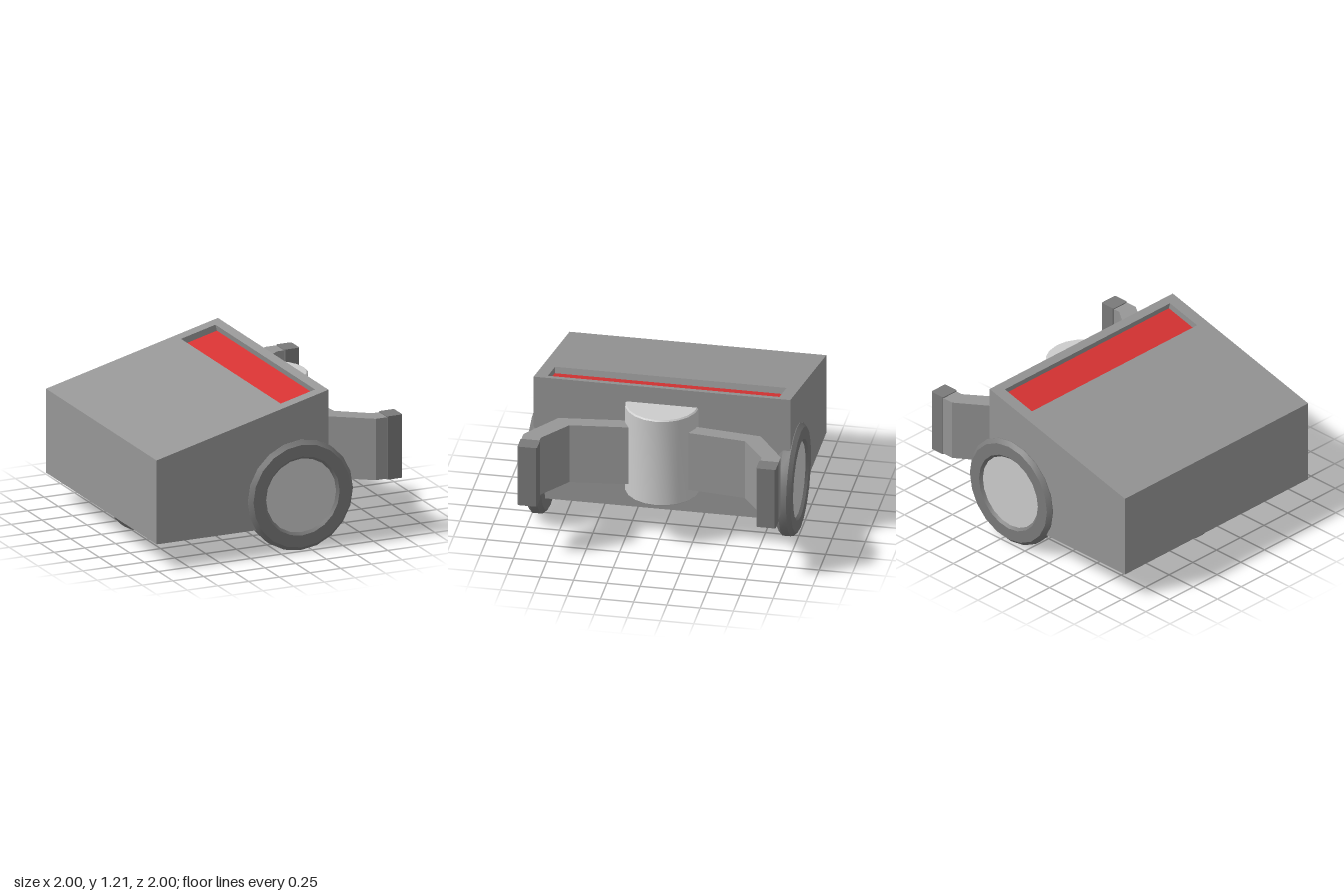
import * as THREE from 'three';
import { toCreasedNormals } from 'three/addons/utils/BufferGeometryUtils.js';

const paint = (color) => new THREE.MeshStandardMaterial({ color });
const light = paint(0xcccccc);
const bodyGrey = paint(0x969696);
const darkGrey = paint(0x7a7a7a);
const red = paint(0xd63333);

function add(parent, name, geometry, material, x = 0, y = 0, z = 0) {
  const mesh = new THREE.Mesh(geometry, material);
  mesh.name = name;
  mesh.position.set(x, y, z);
  parent.add(mesh);
  return mesh;
}

const outline = (points) => new THREE.Shape(points.map(([x, y]) => new THREE.Vector2(x, y)));
const extrude = (points, depth) =>
  new THREE.ExtrudeGeometry(outline(points), { depth, bevelEnabled: false });

// Lathed solid about the y axis; sharp edges kept, round sides smooth
function turned(points, segments = 20) {
  const profile = points.map(([r, y]) => new THREE.Vector2(r, y));
  return toCreasedNormals(new THREE.LatheGeometry(profile, segments), 0.6);
}

// Tyre with chamfered edges around a slightly recessed hub, axle along z
function makeWheel(name, radius, hubRadius, x, z) {
  const wheel = new THREE.Group();
  wheel.name = name;
  const w = 0.06, c = 0.03, lip = 0.02;
  const tyre = turned([
    [hubRadius, -w + lip], [hubRadius + lip, -w], [radius - c, -w], [radius, -w + c],
    [radius, w - c], [radius - c, w], [hubRadius + lip, w], [hubRadius, w - lip],
    [hubRadius, -w + lip],
  ]);
  add(wheel, 'tyre', tyre.rotateX(Math.PI / 2), darkGrey);
  const hub = new THREE.CylinderGeometry(hubRadius, hubRadius, 2 * (w - lip), 20);
  add(wheel, 'hub', hub.rotateX(Math.PI / 2), light);
  wheel.position.set(x, radius, z);
  return wheel;
}

export function createModel() {
  const model = new THREE.Group();
  model.name = 'wedgeRobot';

  // Wedge body: solid cheeks either side of a section notched for the panel
  const body = new THREE.Group();
  body.name = 'body';
  model.add(body);
  const halfWidth = 0.965, slotHalf = 0.87, slotDepth = 0.06;
  const slope = Math.atan2(0.36, 1.4);
  const roofY = (x) => 0.85 + (x + 1) * Math.tan(slope);
  const sink = (x, d) => [x + d * Math.sin(slope), roofY(x) - d * Math.cos(slope)];
  const x0 = 0.055, x1 = 0.335;
  const wedge = [[-1, 0.2], [0.4, 0.2], [0.4, 1.21], [-1, 0.85]];
  const notched = [
    [-1, 0.2], [0.4, 0.2], [0.4, 1.21],
    [x1, roofY(x1)], sink(x1, slotDepth), sink(x0, slotDepth), [x0, roofY(x0)], [-1, 0.85],
  ];
  add(body, 'bodyMiddle', extrude(notched, 2 * slotHalf), bodyGrey, 0, 0, -slotHalf);
  add(body, 'leftCheek', extrude(wedge, halfWidth - slotHalf), bodyGrey, 0, 0, slotHalf);
  add(body, 'rightCheek', extrude(wedge, halfWidth - slotHalf), bodyGrey, 0, 0, -halfWidth);

  // Red panel lying on the slot floor
  const [px, py] = sink((x0 + x1) / 2, slotDepth - 0.003);
  const panelLength = (x1 - x0) / Math.cos(slope);
  const panel = add(body, 'redPanel',
    new THREE.BoxGeometry(panelLength, 0.016, 2 * slotHalf), red, px, py, 0);
  panel.rotation.z = slope;

  // Two drive wheels and a small trailing wheel
  model.add(makeWheel('driveWheelLeft', 0.427, 0.285, 0.17, 0.94));
  model.add(makeWheel('driveWheelRight', 0.427, 0.285, 0.17, -0.94));
  model.add(makeWheel('trailingWheel', 0.235, 0.147, -0.685, 0));

  // Upright drum holding the arms, with softened rims
  const r = 0.277, h = 0.358, b = 0.01;
  add(model, 'drum',
    turned([[0, -h], [r - b, -h], [r, -h + b], [r, h - b], [r - b, h], [0, h]]),
    light, 0.38, 0.717, 0);

  // Bent arms, mirrored across z, each ending in a grip pad
  const armPlan = [
    [0.42, 0.13], [0.435, 0.27], [0.49, 0.76], [0.785, 0.967], [0.89, 0.967],
    [0.89, 0.83], [0.82, 0.83], [0.588, 0.66], [0.54, 0.23], [0.53, 0.13],
  ];
  const padPlan = [
    [0.875, 0.832], [0.883, 0.824], [0.992, 0.824], [1, 0.832],
    [1, 0.962], [0.992, 0.97], [0.883, 0.97], [0.875, 0.962],
  ];
  for (const [side, s] of [['Left', 1], ['Right', -1]]) {
    const upright = (plan, height) =>
      extrude(plan.map(([x, z]) => [x, z * s]), height).rotateX(Math.PI / 2);
    add(model, 'arm' + side, upright(armPlan, 0.475), bodyGrey, 0, 0.933, 0);
    add(model, 'gripPad' + side, upright(padPlan, 0.49), darkGrey, 0, 0.94, 0);
  }

  return model;
}
